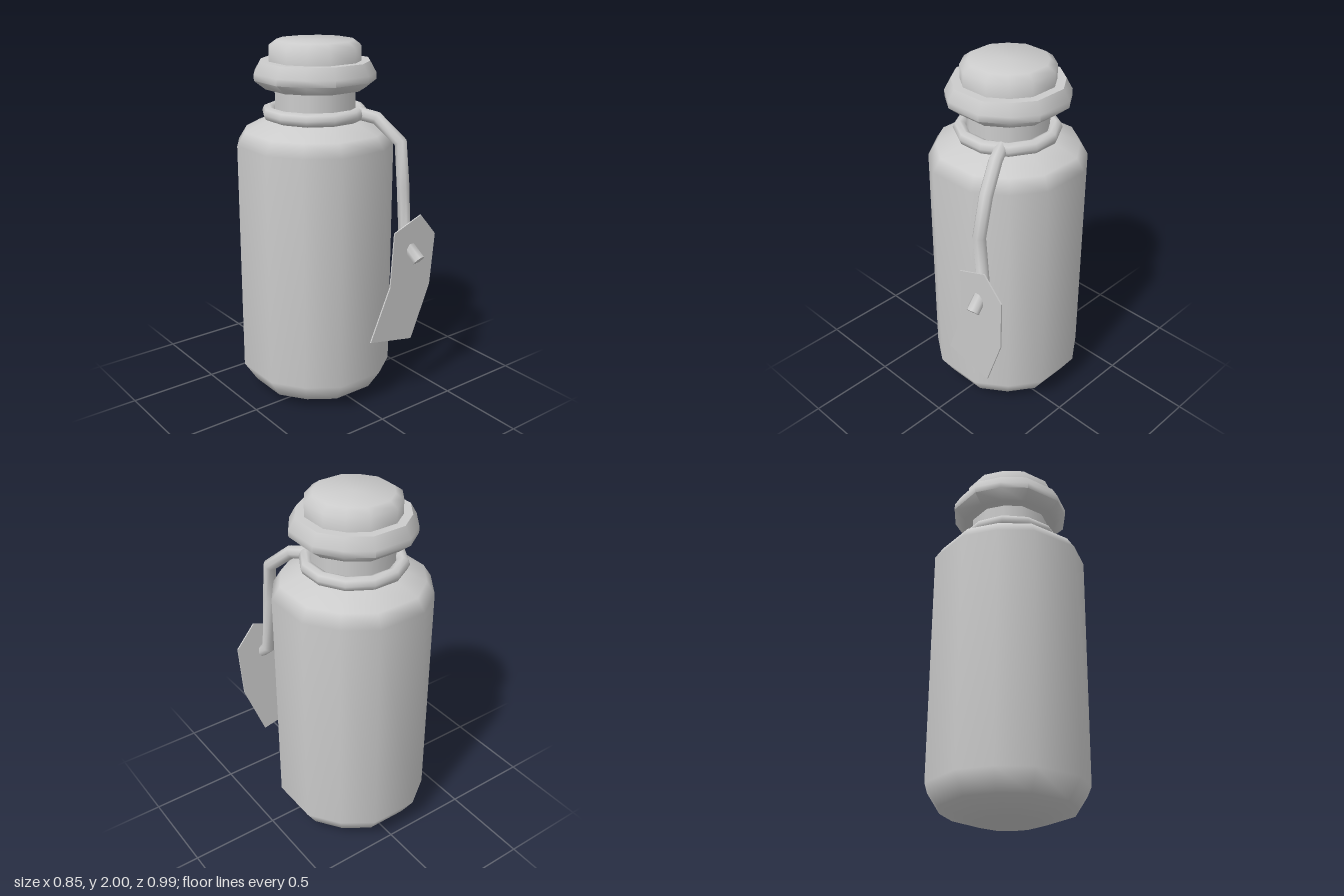
import * as THREE from 'three';
import { toCreasedNormals } from 'three/addons/utils/BufferGeometryUtils.js';

const CX = -0.016, CZ = -0.0875; // bottle axis

export function createModel() {
  const model = new THREE.Group();
  const material = new THREE.MeshStandardMaterial({ color: 0xcccccc });
  const thin = new THREE.MeshStandardMaterial({ color: 0xcccccc, side: THREE.DoubleSide });

  const add = (name, geometry, mat = material) => {
    const mesh = new THREE.Mesh(geometry, mat);
    mesh.name = name;
    model.add(mesh);
    return mesh;
  };

  // Twelve-sided turned part with slightly widened front, back and side faces
  const turned = (name, profile, crease) => {
    let g = new THREE.LatheGeometry(profile.map(([r, y]) => new THREE.Vector2(r, y)), 12, Math.PI / 12);
    const p = g.attributes.position;
    for (let i = 0; i < p.count; i++) {
      const x = p.getX(i), z = p.getZ(i);
      const a = Math.atan2(x, z);
      const r = Math.hypot(x, z) * (1.045 + 0.0173 * Math.cos(4 * a));
      const b = a + 0.07 * Math.sin(4 * a);
      p.setXYZ(i, CX + r * Math.sin(b), p.getY(i), CZ + r * Math.cos(b));
    }
    if (crease) g = toCreasedNormals(g, crease);
    return add(name, g);
  };

  turned('bottleBody', [[0, 0], [0.17, 0], [0.345, 0.06], [0.4125, 0.17], [0.4125, 1.46],
    [0.37, 1.53], [0.25, 1.585], [0.2, 1.59]]);
  turned('neck', [[0.212, 1.56], [0.212, 1.78]]);
  turned('stopperFlange', [[0.18, 1.752], [0.26, 1.752], [0.3175, 1.8], [0.3175, 1.835],
    [0.285, 1.895], [0.22, 1.895]], 1.0);
  turned('stopperTop', [[0.24, 1.88], [0.24, 1.97], [0.2, 2], [0, 2]], 1.1);

  // Cord ring around the neck
  const ring = new THREE.TorusGeometry(0.25, 0.037, 8, 12);
  ring.rotateZ(Math.PI / 12).rotateX(Math.PI / 2).translate(CX - 0.004, 1.62, CZ);
  add('neckCord', ring);

  // Hanging cord, with one tube section per path point
  const path = [[0.12, 1.625, 0.1], [0.175, 1.605, 0.2], [0.235, 1.49, 0.325],
    [0.225, 1.26, 0.365], [0.25, 0.95, 0.362], [0.268, 0.86, 0.462]]
    .map(p => new THREE.Vector3(...p));
  const curve = new THREE.CatmullRomCurve3(path);
  curve.getUtoTmapping = u => u;
  add('hangingCord', new THREE.TubeGeometry(curve, path.length - 1, 0.036, 8), thin);
  const end = add('cordEnd', new THREE.CircleGeometry(0.036, 8), thin);
  end.position.copy(path[5]);
  end.lookAt(path[5].clone().add(curve.getTangent(1)));

  // Thin tag, leaning forward towards its top
  const outline = [[0.13, 1.03], [0.31, 1.1], [0.425, 0.97], [0.41, 0.67], [0.295, 0.36],
    [0.0, 0.42], [0.12, 0.72]].map(p => new THREE.Vector2(...p));
  const tag = new THREE.ExtrudeGeometry(new THREE.Shape(outline), { depth: 0.008, bevelEnabled: false });
  const t = tag.attributes.position;
  for (let i = 0; i < t.count; i++) t.setZ(i, t.getZ(i) + 0.381 + 0.042 * (t.getY(i) - 0.36));
  tag.computeVertexNormals();
  add('tag', tag);

  return model;
}
